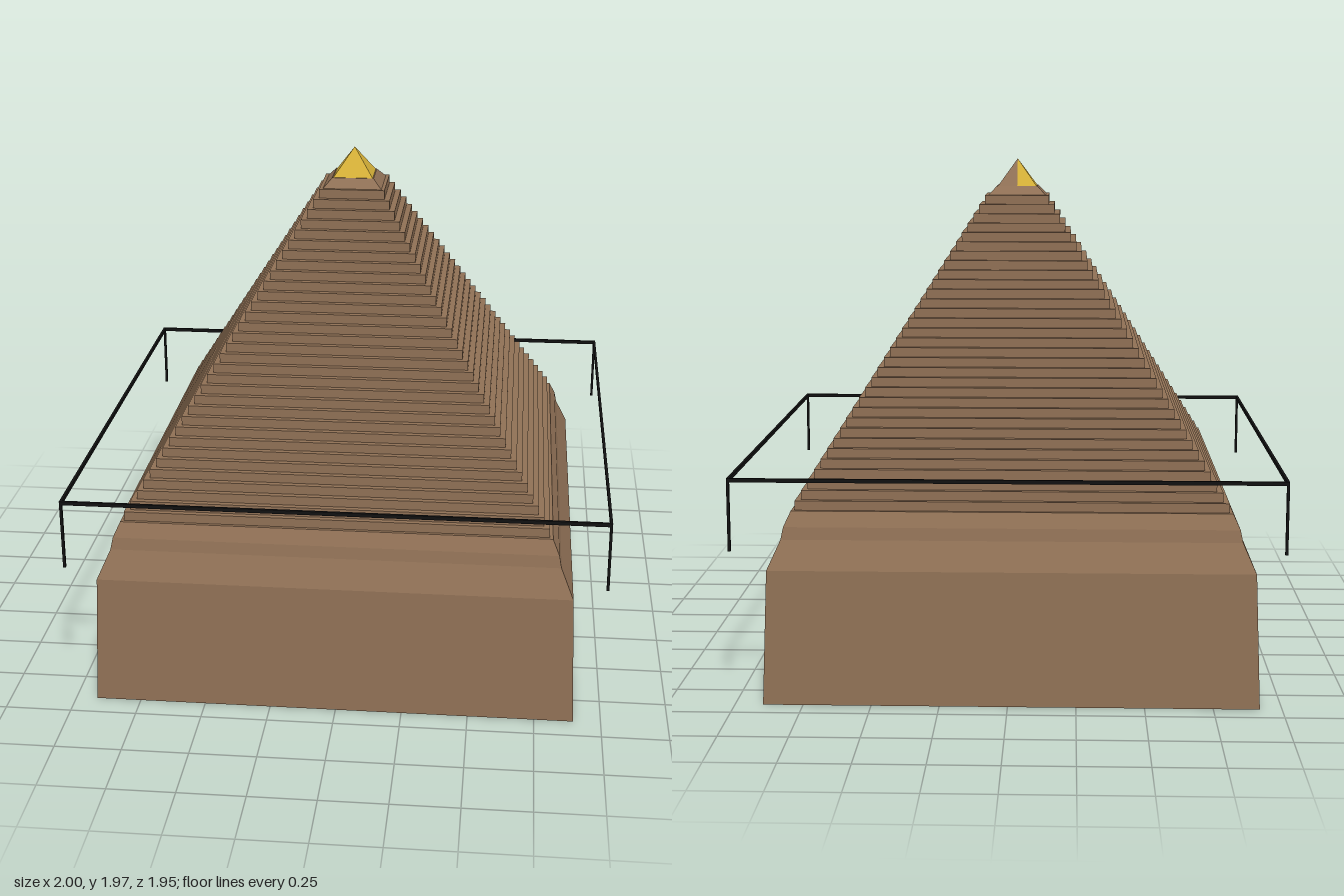
import * as THREE from 'three';

const CX = -0.011, CZ = -0.005; // pyramid axis

export function createModel() {
  const model = new THREE.Group();
  const stone = new THREE.MeshStandardMaterial({ color: 0x8f7055 });
  stone.name = 'brown stone';
  const gold = new THREE.MeshStandardMaterial({ color: 0xd4af37 });
  gold.name = 'gold';
  const black = new THREE.MeshStandardMaterial({ color: 0x111111 });
  black.name = 'black';

  const add = (parent, name, geometry, material) => {
    const mesh = new THREE.Mesh(geometry, material);
    mesh.name = name;
    parent.add(mesh);
    return mesh;
  };

  // square block tapering from half-width a (at y0) to b (at y1)
  const frustum = (a, b, y0, y1) => {
    const g = new THREE.CylinderGeometry(b * Math.SQRT2, a * Math.SQRT2, y1 - y0, 4)
      .rotateY(Math.PI / 4).translate(0, (y0 + y1) / 2, 0).toNonIndexed();
    g.computeVertexNormals();
    return g;
  };

  const pyramid = new THREE.Group();
  pyramid.name = 'pyramid';
  pyramid.position.set(CX, 0, CZ);
  model.add(pyramid);

  // plinth: battered wall, sloping shoulder, narrow band, upper slope
  const profile = [[0.908, 0], [0.889, 0.5], [0.842, 0.605], [0.833, 0.65], [0.808, 0.705]];
  const names = ['baseWall', 'shoulder', 'band', 'upperSlope'];
  names.forEach((name, i) => {
    const [a, y0] = profile[i], [b, y1] = profile[i + 1];
    add(pyramid, name, frustum(a, b, y0, y1), stone);
  });

  // stepped courses
  const COUNT = 32, Y0 = 0.705, Y1 = 1.825, H = (Y1 - Y0) / COUNT;
  for (let i = 0; i < COUNT; i++) {
    const half = THREE.MathUtils.lerp(0.795, 0.126, i / (COUNT - 1));
    add(pyramid, 'step', frustum(half, half, Y0 + i * H, Y0 + (i + 1) * H), stone);
  }
  add(pyramid, 'capSeat', frustum(0.113, 0.08, Y1, 1.86), stone);

  // capstone: each side is two triangles; one rear half is bare stone
  const R = 0.076, corners = [[-R, R], [0, R], [R, R], [R, 0], [R, -R], [0, -R], [-R, -R], [-R, 0]];
  const cap = new THREE.BufferGeometry();
  const points = [];
  corners.forEach(([x, z], i) => {
    const [x2, z2] = corners[(i + 1) % 8];
    points.push(x, 1.86, z, x2, 1.86, z2, 0, 1.966, 0);
    cap.addGroup(i * 3, 3, i === 4 ? 1 : 0);
  });
  cap.setAttribute('position', new THREE.Float32BufferAttribute(points, 3));
  cap.computeVertexNormals();
  add(pyramid, 'capstone', cap, [gold, stone]);

  // thin rail frame hung around the pyramid, with a post at each corner
  const frame = new THREE.Group();
  frame.name = 'frame';
  model.add(frame);
  const X = 0.995, Z = 0.969, T = 0.01, TOP = 0.858, RAIL = 0.014;
  for (const s of [-1, 1]) {
    add(frame, 'longRail', new THREE.BoxGeometry(2 * X + T, RAIL, T), black)
      .position.set(0, TOP - RAIL / 2, s * Z);
    add(frame, 'sideRail', new THREE.BoxGeometry(T, RAIL, 2 * Z - T), black)
      .position.set(s * X, TOP - RAIL / 2, 0);
    for (const t of [-1, 1]) {
      const h = TOP - RAIL - 0.592;
      add(frame, 'cornerPost', new THREE.BoxGeometry(T, h, T), black)
        .position.set(s * X, 0.592 + h / 2, t * Z);
    }
  }
  return model;
}
